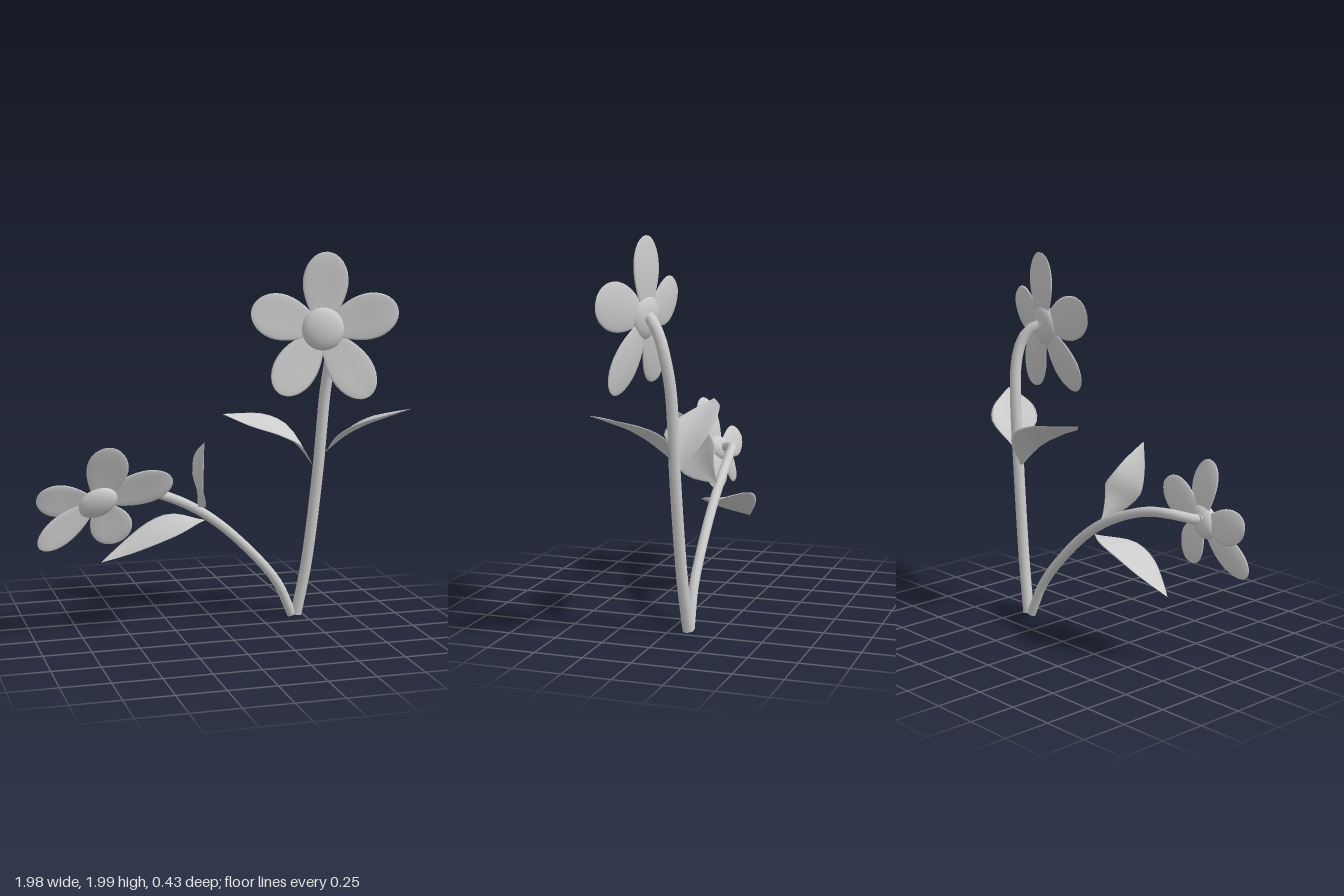
import * as THREE from 'three';

const material = new THREE.MeshStandardMaterial({ color: 0xcccccc, side: THREE.DoubleSide });
const V = (p) => new THREE.Vector3(...p);

function addMesh(parent, name, geometry) {
  const mesh = new THREE.Mesh(geometry, material);
  mesh.name = name;
  parent.add(mesh);
  return mesh;
}

// Thin lens-shaped blade swept along a curve; "fold" lifts both edges off the midrib
function blade(points, across, { width, profile, thickness, fold, rows = 18 }) {
  const curve = new THREE.CatmullRomCurve3(points);
  const ring = 14, pos = [], index = [];
  for (let i = 0; i <= rows; i++) {
    const t = (1 - Math.cos(Math.PI * i / rows)) / 2;
    const p = curve.getPoint(t), dir = curve.getTangent(t);
    const w = across.clone().addScaledVector(dir, -across.dot(dir)).normalize();
    const n = dir.clone().cross(w);
    const k = profile(t);
    for (let j = 0; j < ring; j++) {
      const a = 2 * Math.PI * j / ring, u = Math.cos(a);
      const v = p.clone()
        .addScaledVector(w, u * k * width / 2)
        .addScaledVector(n, Math.sin(a) * k * thickness / 2 + fold * k * Math.abs(u));
      pos.push(v.x, v.y, v.z);
      if (i < rows) {
        const b = i * ring + j, c = i * ring + (j + 1) % ring;
        index.push(b, c, b + ring, c, c + ring, b + ring);
      }
    }
  }
  const g = new THREE.BufferGeometry();
  g.setAttribute('position', new THREE.Float32BufferAttribute(pos, 3));
  g.setIndex(index);
  g.computeVertexNormals();
  return g;
}

// Petal: narrow claw, broad rounded end. Leaf: widest low down, pointed tip.
const petalProfile = (t) => t < 0.62
  ? 0.15 + 0.85 * Math.sin(Math.PI / 2 * t / 0.62)
  : Math.sqrt(Math.max(1e-5, 1 - ((t - 0.62) / 0.38) ** 2));
const leafProfile = (t) => t < 0.38
  ? 0.06 + 0.94 * Math.sin(Math.PI / 2 * t / 0.38) ** 1.4
  : Math.max(0.004, Math.cos(Math.PI / 2 * (t - 0.38) / 0.62));

function stem(parent, name, points, radius) {
  const curve = new THREE.CatmullRomCurve3(points.map(V));
  addMesh(parent, name, new THREE.TubeGeometry(curve, 28, radius, 10));
  const cap = addMesh(parent, name + 'Base', new THREE.CircleGeometry(radius, 10));
  cap.position.copy(curve.getPoint(0));
  cap.lookAt(cap.position.clone().sub(curve.getTangent(0)));
}

function leaf(parent, name, points, across, width) {
  addMesh(parent, name, blade(points.map(V), V(across).normalize(),
    { width, profile: leafProfile, thickness: 0.016, fold: 0.025 }));
}

// Petals are [tip, width]; the centre is an ellipsoid stretched along longAxis
function flower(parent, name, { centre, normal, petals, longAxis, radii }) {
  const group = new THREE.Group();
  group.name = name;
  parent.add(group);
  const c = V(centre), n = V(normal).normalize();
  for (const [tip, width] of petals) {
    const end = V(tip), d = end.clone().sub(c);
    const middle = c.clone().addScaledVector(d, 0.5).addScaledVector(n, -0.008);
    addMesh(group, 'petal', blade([c, middle, end], n.clone().cross(d).normalize(),
      { width, profile: petalProfile, thickness: 0.02, fold: 0.008 }));
  }
  // Domed centre
  const x = V(longAxis).addScaledVector(n, -V(longAxis).dot(n)).normalize();
  const y = n.clone().cross(x);
  const dome = addMesh(group, 'flowerCentre', new THREE.SphereGeometry(1, 20, 14));
  dome.quaternion.setFromRotationMatrix(new THREE.Matrix4().makeBasis(x, y, n));
  dome.scale.set(...radii);
  dome.position.copy(c).addScaledVector(n, 0.015);
  // Small five-sided calyx behind the petals
  const calyx = addMesh(group, 'calyx', new THREE.CylinderGeometry(0.05, 0.035, 0.03, 5));
  calyx.quaternion.setFromUnitVectors(new THREE.Vector3(0, 1, 0), n);
  calyx.position.copy(c).addScaledVector(n, -0.015);
}

export function createModel() {
  const model = new THREE.Group();
  model.name = 'flowers';

  // Stems
  stem(model, 'tallStem', [
    [0.455, 0.02, -0.1], [0.505, 0.3, -0.085], [0.56, 0.8, -0.07], [0.595, 1.25, -0.06],
    [0.61, 1.42, -0.035], [0.6, 1.53, 0], [0.57, 1.59, 0.045], [0.53, 1.61, 0.085]], 0.03);
  stem(model, 'bentStem', [
    [0.43, 0.02, -0.1], [0.34, 0.21, -0.09], [0.18, 0.4, -0.085], [-0.02, 0.58, -0.08],
    [-0.2, 0.69, -0.07], [-0.42, 0.77, -0.045], [-0.57, 0.78, -0.01],
    [-0.65, 0.765, 0.04], [-0.68, 0.755, 0.09]], 0.026);

  // Leaves
  leaf(model, 'tallStemRightLeaf', [[0.54, 0.84, -0.07], [0.43, 0.985, -0.09],
    [0.31, 1.055, -0.09], [0.16, 1.1, -0.095], [0.035, 1.145, -0.1]], [0, -0.3, 1], 0.29);
  leaf(model, 'tallStemLeftLeaf', [[0.6, 0.92, -0.06], [0.68, 1.01, 0.0],
    [0.77, 1.08, 0.07], [0.87, 1.13, 0.14], [0.985, 1.18, 0.21]], [0.57, 0, -0.83], 0.26);
  leaf(model, 'bentStemUpperLeaf', [[-0.11, 0.66, -0.07], [-0.135, 0.76, 0.03],
    [-0.17, 0.85, 0.08], [-0.165, 0.95, 0.14], [-0.145, 1.05, 0.2]], [0, -0.55, 0.83], 0.26);
  leaf(model, 'bentStemLowerLeaf', [[-0.07, 0.58, -0.08], [-0.2, 0.56, -0.08],
    [-0.34, 0.51, -0.08], [-0.48, 0.445, -0.09], [-0.63, 0.38, -0.1]], [0, -0.2, 1], 0.29);

  // Flowers
  flower(model, 'tallFlower', {
    centre: [0.525, 1.6, 0.085], normal: [-0.18, 0.1, 1],
    longAxis: [1, 0, 0], radii: [0.112, 0.112, 0.045],
    petals: [[[0.55, 2, 0.08], 0.24], [[0.9, 1.71, 0.2], 0.24], [[0.755, 1.25, 0.185], 0.23],
      [[0.275, 1.275, 0.12], 0.23], [[0.145, 1.71, 0.06], 0.24]],
  });
  flower(model, 'bentFlower', {
    centre: [-0.68, 0.75, 0.09], normal: [-0.19, -0.25, 1],
    longAxis: [0.87, 0.5, 0.25], radii: [0.11, 0.072, 0.045],
    petals: [[[-0.61, 1.04, 0.19], 0.21], [[-0.31, 0.87, 0.19], 0.18], [[-0.565, 0.535, 0.09], 0.22],
      [[-0.985, 0.525, 0.09], 0.15], [[-0.99, 0.765, 0.06], 0.18]],
  });
  return model;
}
